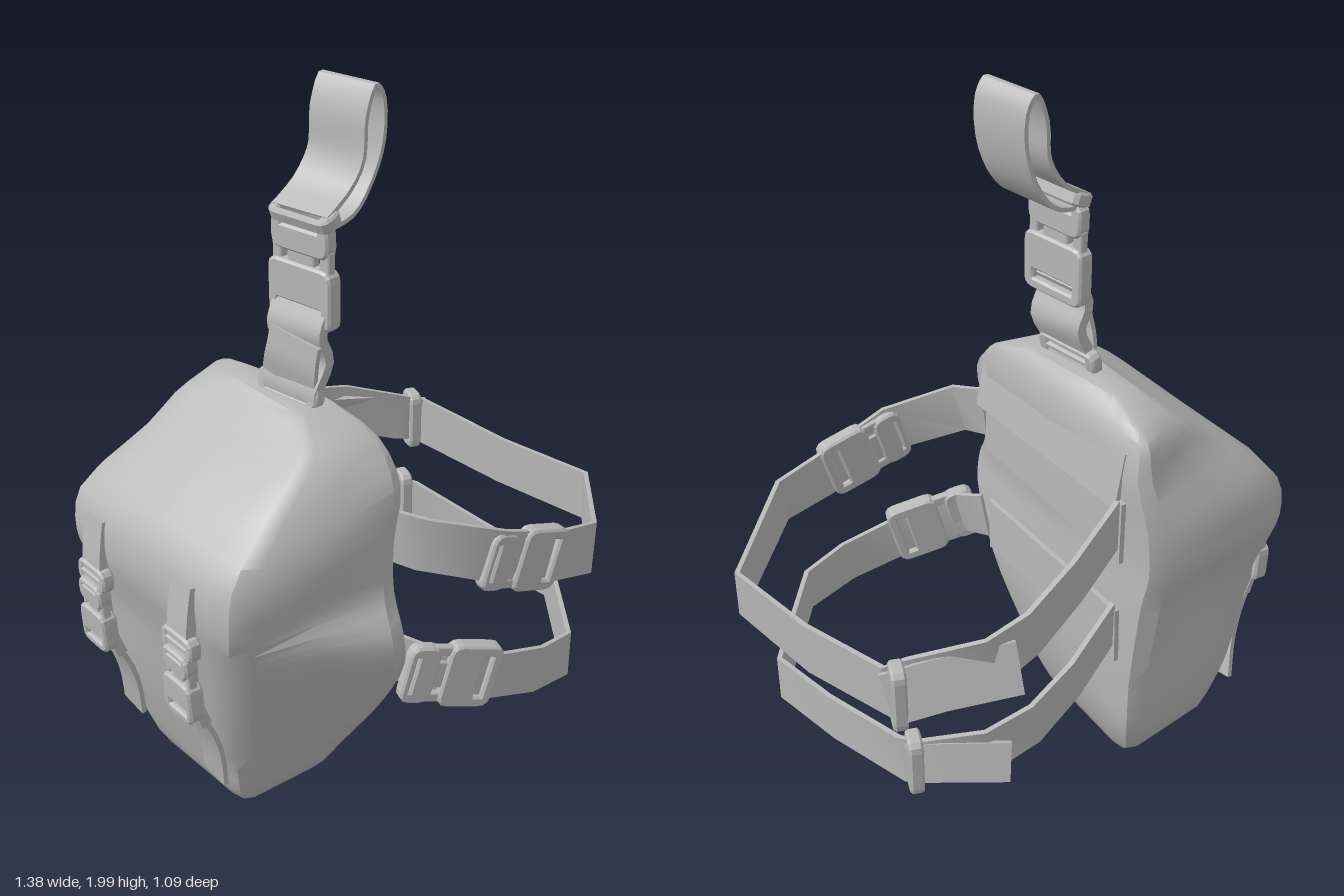
import * as THREE from 'three';
import { toCreasedNormals } from 'three/addons/utils/BufferGeometryUtils.js';
import { RoundedBoxGeometry } from 'three/addons/geometries/RoundedBoxGeometry.js';

const fabric = new THREE.MeshStandardMaterial({ color: 0xb8b8b8 });
fabric.name = 'greyFabric';
const V = (x, y, z) => new THREE.Vector3(x, y, z);

function mesh(name, geometry) {
  const m = new THREE.Mesh(geometry, fabric);
  m.name = name;
  return m;
}

// Skin a list of equal rings (counter-clockwise about the path) and cap both ends
function loft(rings, crease) {
  const n = rings[0].length, pos = [], index = [];
  rings.forEach(r => r.forEach(p => pos.push(p.x, p.y, p.z)));
  for (let i = 0; i < rings.length - 1; i++) {
    for (let j = 0; j < n; j++) {
      const a = i * n + j, b = i * n + (j + 1) % n;
      index.push(a, b, b + n, a, b + n, a + n);
    }
  }
  [0, rings.length - 1].forEach((i, end) => {
    const c = rings[i].reduce((s, p) => s.add(p), V(0, 0, 0)).divideScalar(n);
    const k = pos.length / 3;
    pos.push(c.x, c.y, c.z);
    for (let j = 0; j < n; j++) {
      const a = i * n + j, b = i * n + (j + 1) % n;
      index.push(k, end ? a : b, end ? b : a);
    }
  });
  const g = new THREE.BufferGeometry();
  g.setAttribute('position', new THREE.Float32BufferAttribute(pos, 3));
  g.setIndex(index);
  return toCreasedNormals(g, crease);
}

// Flat webbing along a path; "across" is the direction of its width
function ribbon(name, pts, width, across, samples = 0, thick = 0.014) {
  let path = pts.map(p => V(...p));
  if (samples) path = new THREE.CatmullRomCurve3(path).getPoints(samples);
  const rings = path.map((p, i) => {
    const t = path[Math.min(i + 1, path.length - 1)].clone().sub(path[Math.max(i - 1, 0)]).normalize();
    const w = across.clone().addScaledVector(t, -across.dot(t)).normalize();
    const v = t.clone().cross(w);
    return [[1, 1], [-1, 1], [-1, -1], [1, -1]].map(([a, b]) =>
      p.clone().addScaledVector(w, a * width / 2).addScaledVector(v, b * thick / 2));
  });
  return mesh(name, loft(rings, 0.7));
}

// Orient a part: local y runs along the strap, local z faces outward
function place(obj, pos, along, normal) {
  const y = V(...along).normalize();
  const z = V(...normal).addScaledVector(y, -y.dot(V(...normal))).normalize();
  obj.quaternion.setFromRotationMatrix(new THREE.Matrix4().makeBasis(y.clone().cross(z), y, z));
  obj.position.set(...pos);
  return obj;
}

function roundRect(path, w, h, r, cy = 0) {
  const x = w / 2, y = h / 2;
  path.moveTo(-x + r, cy - y);
  [[x, -y, x, -y + r, x - r, -y], [x, y, x - r, y, x, y - r], [-x, y, -x, y - r, -x + r, y], [-x, -y, -x + r, -y, -x, -y + r]]
    .forEach(([cx, py, ex, ey, sx, sy]) => {
      path.lineTo(sx, cy + sy);
      path.quadraticCurveTo(cx, cy + py, ex, cy + ey);
    });
  return path;
}

// Rounded plate with slots given as [width, height, centreY]
function plate(name, w, h, depth, slots) {
  const s = roundRect(new THREE.Shape(), w, h, 0.025);
  slots.forEach(([a, b, c]) => s.holes.push(roundRect(new THREE.Path(), a, b, Math.min(a, b) * 0.2, c)));
  const g = new THREE.ExtrudeGeometry(s, {
    depth, curveSegments: 3, bevelEnabled: true, bevelSize: 0.006, bevelThickness: 0.006, bevelSegments: 1
  });
  g.translate(0, 0, -depth / 2);
  return mesh(name, g);
}

// Slider ring with its centre bar
function slider(name, w, h) {
  const g = new THREE.Group();
  g.name = name;
  g.add(plate('sliderFrame', w, h, 0.025, [[w * 0.76, h * 0.3, h * 0.22], [w * 0.76, h * 0.3, -h * 0.22]]));
  return g;
}

// Side-release buckle: slotted socket, three prongs, slotted plug
function buckle(name, w, len) {
  const g = new THREE.Group();
  g.name = name;
  const socket = plate('buckleSocket', w, len * 0.56, 0.035, [[w * 0.78, len * 0.14, -len * 0.14]]);
  socket.position.y = -len * 0.22;
  const plug = plate('bucklePlug', w * 0.9, len * 0.3, 0.028, [[w * 0.65, len * 0.06, len * 0.08]]);
  plug.position.y = len * 0.35;
  g.add(socket, plug);
  for (const [x, s] of [[-0.4, 0.16], [0, 0.45], [0.4, 0.16]]) {
    const prong = mesh('buckleProng', new RoundedBoxGeometry(w * s, len * 0.28, 0.026, 1, 0.006));
    prong.position.set(x * w, len * 0.12, 0);
    g.add(prong);
  }
  return g;
}

// Levels: y, then x,z of inner-front, inner-back, outer-back, outer-front, then front and back bulge
const LEVELS = [
  [0.005, -0.23, -0.03, -0.2, -0.2, -0.35, -0.2, -0.36, -0.05, 0, 0],
  [0.05, -0.2, 0.05, -0.12, -0.39, -0.42, -0.4, -0.47, 0, 0, 0],
  [0.2, -0.19, 0.17, -0.05, -0.46, -0.47, -0.46, -0.52, 0.03, -0.02, 0],
  [0.38, -0.19, 0.3, -0.04, -0.47, -0.51, -0.48, -0.57, 0.07, -0.045, -0.01],
  [0.58, -0.22, 0.41, -0.04, -0.49, -0.53, -0.5, -0.62, 0.12, -0.02, -0.03],
  [0.68, -0.23, 0.41, -0.04, -0.5, -0.55, -0.53, -0.645, 0.15, -0.02, -0.02],
  [0.77, -0.2, 0.35, -0.05, -0.51, -0.57, -0.55, -0.665, 0.18, -0.03, 0.01],
  [0.9, -0.18, 0.33, -0.05, -0.5, -0.55, -0.54, -0.65, 0.18, 0.015, 0.01],
  [1.05, -0.15, 0.32, -0.05, -0.46, -0.4, -0.43, -0.51, 0.17, 0, 0],
  [1.15, -0.14, 0.23, -0.08, -0.43, -0.27, -0.38, -0.36, 0.15, 0, 0],
  [1.205, -0.15, 0.06, -0.14, -0.27, -0.22, -0.26, -0.27, 0.06, 0, 0]
];

function bagBody() {
  const rings = LEVELS.map(([y, ...c]) => {
    const corner = [0, 1, 2, 3].map(k => V(c[2 * k], y, c[2 * k + 1]));
    return corner.flatMap((p, k) => {
      const prev = corner[(k + 3) % 4], next = corner[(k + 1) % 4];
      const a = p.clone().lerp(prev, 0.13), b = p.clone().lerp(next, 0.13);
      const m = a.clone().lerp(b, 0.5).lerp(p, 0.5);
      const mid = p.clone().lerp(next, 0.5);
      if (k === 3) mid.add(V(-0.4, 0, 0.9).multiplyScalar(c[8]));
      if (k === 1) mid.z -= c[9];
      return [a, m, b, mid];
    });
  });
  // Smooth every column of points from bottom to top
  const steps = 30;
  const columns = rings[0].map((_, j) => new THREE.CatmullRomCurve3(rings.map(r => r[j])).getPoints(steps));
  const fine = Array.from({ length: steps + 1 }, (_, i) => columns.map(col => col[i]));
  return mesh('bagBody', loft(fine, 0.65));
}

export function createModel() {
  const model = new THREE.Group();
  model.name = 'legBag';
  const up = V(0, 1, 0), zAxis = V(0, 0, 1);
  model.add(bagBody());

  // Panel and belt bands sewn flat on the inner face
  model.add(ribbon('innerTopPanel', [[-0.144, 1.03, 0.25], [-0.062, 1.03, -0.38]], 0.16, V(-0.18, 1, 0)));
  model.add(ribbon('upperBand', [[-0.165, 0.88, 0.25], [-0.053, 0.88, -0.4]], 0.19, up));
  model.add(ribbon('lowerBand', [[-0.175, 0.51, 0.25], [-0.05, 0.54, -0.4]], 0.17, up));

  // Leg belts: round the back of the leg and home through the front buckle
  model.add(ribbon('upperBelt', [[-0.06, 0.91, -0.38], [0.15, 0.86, -0.44], [0.33, 0.81, -0.47], [0.45, 0.78, -0.46],
    [0.6, 0.73, -0.34], [0.66, 0.71, -0.31], [0.68, 0.665, 0], [0.68, 0.66, 0.31],
    [0.38, 0.71, 0.53], [0.22, 0.75, 0.51], [0.02, 0.83, 0.47], [-0.14, 0.89, 0.35], [-0.17, 0.9, 0.27]], 0.15, up));
  model.add(ribbon('lowerBelt', [[-0.06, 0.58, -0.38], [0.15, 0.53, -0.44], [0.31, 0.49, -0.46], [0.45, 0.47, -0.44],
    [0.58, 0.45, -0.34], [0.61, 0.44, -0.29], [0.62, 0.39, 0], [0.62, 0.37, 0.24],
    [0.33, 0.37, 0.51], [0.18, 0.4, 0.51], [0.02, 0.44, 0.46], [-0.14, 0.51, 0.36], [-0.17, 0.53, 0.27]], 0.14, up));

  // Loose belt ends behind the sliders
  const flare = V(0.3, 1, 0.6);
  model.add(ribbon('upperBeltEnd', [[0.68, 0.71, -0.33], [0.57, 0.74, -0.4], [0.4, 0.76, -0.5]], 0.14, flare));
  model.add(ribbon('lowerBeltEnd', [[0.62, 0.45, -0.32], [0.56, 0.46, -0.38], [0.42, 0.45, -0.49]], 0.11, flare));

  // Belt sliders and buckles
  model.add(place(slider('upperSlider', 0.18, 0.07), [0.65, 0.71, -0.335], [-0.55, 0, 1], [1, 0, 0.55]));
  model.add(place(slider('lowerSlider', 0.17, 0.07), [0.6, 0.45, -0.325], [-0.55, 0, 1], [1, 0, 0.55]));
  model.add(place(buckle('upperBuckle', 0.17, 0.25), [0.11, 0.785, 0.485], [-1, 0.3, -0.25], [-0.3, 0, 1]));
  model.add(place(buckle('lowerBuckle', 0.18, 0.26), [-0.08, 0.48, 0.405], [-1, 0.3, -0.55], [-0.5, 0, 1]));

  // Hanging strap: webbing, two sliders, buckle and belt loop
  model.add(ribbon('hangerStrap', [[-0.19, 1.17, -0.04], [-0.2, 1.23, -0.04], [-0.165, 1.32, -0.03], [-0.19, 1.39, -0.03],
    [-0.165, 1.45, -0.03]], 0.18, zAxis, 14, 0.03));
  model.add(ribbon('hangerFold', [[-0.2, 1.24, -0.05], [-0.21, 1.31, -0.03], [-0.205, 1.38, -0.02]], 0.17, V(0, 0.15, 1), 6));
  model.add(place(slider('hangerSlider', 0.2, 0.06), [-0.195, 1.225, -0.05], [0.2, 1, 0], [-1, 0.2, 0]));
  model.add(place(buckle('hangerBuckle', 0.2, 0.27), [-0.16, 1.54, -0.03], [0, 1, 0], [-1, 0, 0]));
  model.add(place(slider('loopSlider', 0.19, 0.06), [-0.165, 1.69, -0.02], [0.9, 0.35, 0], [-0.35, 1, 0]));
  model.add(ribbon('beltLoop', [[-0.18, 1.7, -0.02], [-0.1, 1.75, -0.02], [-0.06, 1.82, -0.01], [-0.05, 1.92, -0.01],
    [-0.015, 1.992, -0.01], [0.012, 1.96, -0.01], [0.015, 1.86, -0.01], [-0.015, 1.76, -0.02], [-0.08, 1.69, -0.02],
    [-0.18, 1.67, -0.02]], 0.18, zAxis, 30, 0.012));

  // Closure straps on the outer face
  for (const [z, x] of [[0, 0], [-0.4, 0.06]]) {
    const g = new THREE.Group();
    g.name = 'closureStrap';
    const across = V(-0.15, 0, 1);
    g.add(ribbon('closureWebbing', [[-0.635, 0.87, 0], [-0.655, 0.76, 0], [-0.66, 0.66, 0], [-0.65, 0.53, 0], [-0.62, 0.44, 0]],
      0.085, across, 12, 0.03));
    g.add(ribbon('closureTail', [[-0.645, 0.49, 0], [-0.6, 0.4, 0], [-0.565, 0.3, -0.01], [-0.54, 0.18, -0.03]], 0.09, across, 8));
    g.add(place(buckle('closureBuckle', 0.11, 0.2), [-0.665, 0.58, 0], [-0.05, 1, 0], [-1, 0, -0.15]));
    g.add(place(slider('closureSlider', 0.12, 0.06), [-0.66, 0.7, 0], [0, 1, 0], [-1, 0, -0.15]));
    g.position.set(x, 0, z);
    model.add(g);
  }
  return model;
}
